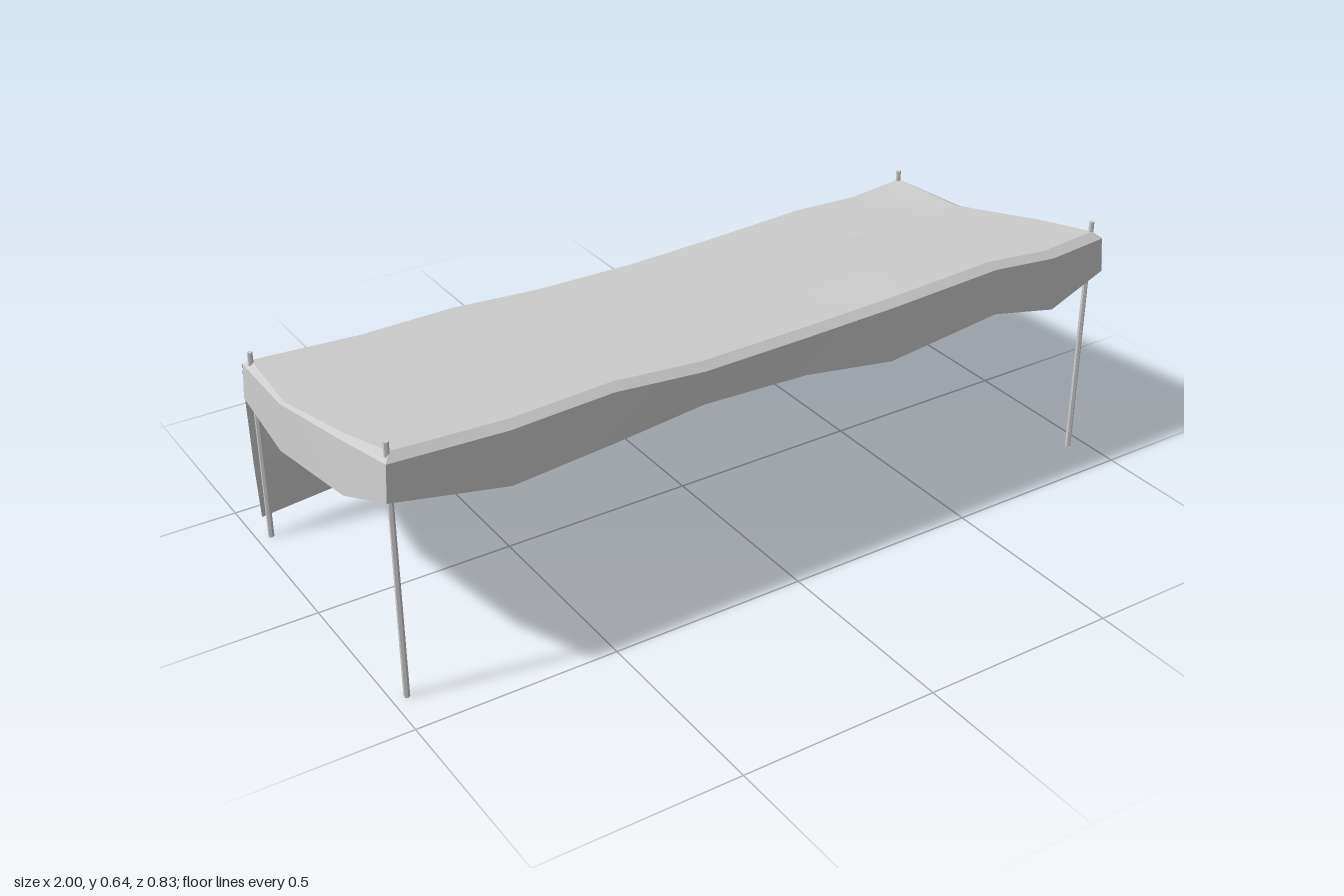
import * as THREE from 'three';

const cloth = new THREE.MeshStandardMaterial({ color: 0xcccccc, side: THREE.DoubleSide });
const metal = new THREE.MeshStandardMaterial({ color: 0xcccccc, flatShading: true });

// Fabric sheet joined from rows of [x, y, z] points; each band is smooth along
// its length, with a crease where it meets the next band
function sheet(name, rows) {
  const n = rows[0].length, points = [], index = [];
  for (let r = 0; r < rows.length - 1; r++) {
    const start = points.length;
    points.push(...rows[r], ...rows[r + 1]);
    for (let c = 0; c < n - 1; c++) {
      const a = start + c, b = a + n;
      index.push(a, b, a + 1, b, b + 1, a + 1);
    }
  }
  const geo = new THREE.BufferGeometry();
  geo.setAttribute('position', new THREE.Float32BufferAttribute(points.flat(), 3));
  geo.setIndex(index);
  geo.computeVertexNormals();
  const mesh = new THREE.Mesh(geo, cloth);
  mesh.name = name;
  return mesh;
}

// Shared fabric columns across the width
const X = [-0.96, -0.68, -0.43, -0.2, 0.07, 0.31, 0.62, 0.8, 0.955];
// One row across the width; y and z are a number or one value per column
function row(y, z, spread = 1) {
  const at = (v, i) => (Array.isArray(v) ? v[i] : v);
  return X.map((x, i) => [x * spread, at(y, i), at(z, i)]);
}

export function createModel() {
  const group = new THREE.Group();
  group.name = 'canopy';

  // Sagging, sloping roof from front edge to back edge
  const frontY = [0.62, 0.608, 0.62, 0.6, 0.604, 0.61, 0.625, 0.607, 0.62];
  const backY = [0.483, 0.467, 0.467, 0.455, 0.455, 0.459, 0.469, 0.466, 0.483];
  const backZ = [-0.367, -0.37, -0.376, -0.37, -0.364, -0.37, -0.377, -0.37, -0.367];
  const roof = [
    row(frontY, 0.387),
    row([0.571, 0.566, 0.576, 0.558, 0.558, 0.568, 0.583, 0.568, 0.571], 0.19, 1.016),
    row([0.486, 0.478, 0.478, 0.468, 0.468, 0.472, 0.484, 0.479, 0.486], -0.14, 1.016),
    row(backY, backZ),
  ];
  group.add(sheet('roof', roof));

  // Front valance: narrow folded hem, then a wavy drop
  group.add(sheet('frontValance', [
    roof[0],
    row(frontY.map((y) => y - 0.016), 0.407, 1.018),
    row([0.515, 0.46, 0.48, 0.502, 0.492, 0.457, 0.49, 0.452, 0.515],
      [0.411, 0.413, 0.411, 0.408, 0.409, 0.414, 0.411, 0.413, 0.411], 1.025),
  ]));

  // Back curtain: folded hem, then three billowing bands, gathered at a seam
  const curtain = [
    roof[3],
    row(backY.map((y) => y - 0.014), backZ.map((z) => z - 0.016), 1.018),
    row([0.385, 0.385, 0.38, 0.38, 0.392, 0.388, 0.38, 0.385, 0.385],
      [-0.385, -0.4, -0.415, -0.4, -0.38, -0.377, -0.372, -0.377, -0.387], 1.02),
    row(0.2, [-0.38, -0.372, -0.368, -0.37, -0.38, -0.397, -0.415, -0.403, -0.388], 1.02),
    row([0.045, 0.07, 0.045, 0.035, 0.08, 0.035, 0.08, 0.035, 0.045],
      [-0.38, -0.385, -0.395, -0.405, -0.38, -0.378, -0.38, -0.385, -0.38], 1.015),
  ];
  group.add(sheet('backCurtainRight', curtain.map((r) => r.slice(0, 5))));
  group.add(sheet('backCurtainLeft', curtain.map((r) => r.slice(4))));

  // Side valances hang from the roof ends
  const hemZ = [0.407, 0.2, -0.145, -0.383];
  const dropZ = [0.411, 0.22, -0.15, -0.383];
  const hemDrop = [0.016, 0.006, 0.006, 0.014];
  const sides = [
    { name: 'leftValance', col: 8, hemX: [0.973, 0.98, 0.985, 0.972], dropX: [0.98, 0.988, 1, 0.978], dropY: [0.515, 0.44, 0.4, 0.395] },
    { name: 'rightValance', col: 0, hemX: [-0.977, -0.99, -0.984, -0.976], dropX: [-0.984, -1, -0.992, -0.982], dropY: [0.515, 0.438, 0.357, 0.38] },
  ];
  for (const { name, col, hemX, dropX, dropY } of sides) {
    const edge = roof.map((r) => r[col]);
    group.add(sheet(name, [
      edge,
      edge.map((p, i) => [hemX[i], p[1] - hemDrop[i], hemZ[i]]),
      edge.map((p, i) => [dropX[i], dropY[i], dropZ[i]]),
    ]));
  }

  // Four slim poles poking through the roof corners: x, z, height
  const poles = {
    frontRightPole: [-0.965, 0.387, 0.645],
    frontLeftPole: [0.956, 0.383, 0.645],
    backRightPole: [-0.965, -0.356, 0.51],
    backLeftPole: [0.95, -0.364, 0.51],
  };
  for (const [name, [x, z, height]] of Object.entries(poles)) {
    const pole = new THREE.Mesh(new THREE.CylinderGeometry(0.0065, 0.0075, height, 6), metal);
    pole.position.set(x, height / 2, z);
    pole.name = name;
    group.add(pole);
  }
  return group;
}
